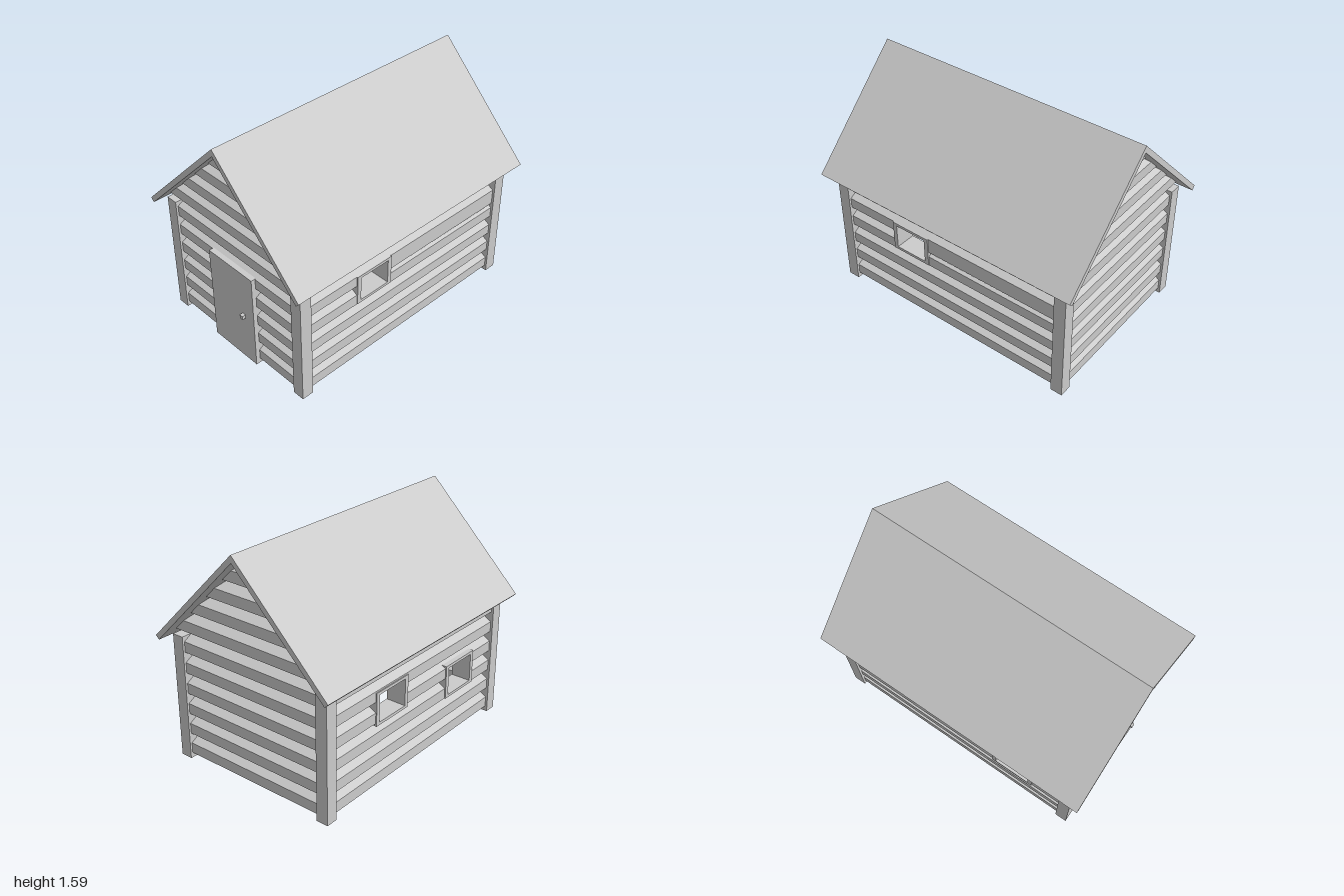
import * as THREE from 'three';

const material = new THREE.MeshStandardMaterial({ color: 0xcccccc, flatShading: true });

const PITCH = 0.1475;        // height of one log
const HALF = 0.0635;         // half the depth of a log
const WALL_X = 0.5515, WALL_Z = 0.8465;
const POST = 0.085, POST_X = 0.588, POST_Z = 0.8825, EAVES = 0.885;
const RIDGE = 1.585, DROP = 0.05, ROOF_X = 0.705;

function add(parent, name, geometry, x = 0, y = 0, z = 0) {
  const mesh = new THREE.Mesh(geometry, material);
  mesh.name = name;
  mesh.position.set(x, y, z);
  parent.add(mesh);
  return mesh;
}

function box(parent, name, x0, x1, y0, y1, z0, z1) {
  return add(parent, name, new THREE.BoxGeometry(x1 - x0, y1 - y0, z1 - z0),
    (x0 + x1) / 2, (y0 + y1) / 2, (z0 + z1) / 2);
}

// Hexagonal log in row, lying along x from a to b, keeping only heights lo..hi
function logPiece(row, a, b, lo = -Infinity, hi = Infinity) {
  const base = row * PITCH, top = base + PITCH;
  const y0 = Math.max(base, lo), y1 = Math.min(top, hi);
  if (y1 - y0 < 0.004) return null;
  const halfAt = y => HALF * Math.min(1, Math.min(y - base, top - y) / (PITCH / 4));
  const ys = [y0, base + PITCH / 4, top - PITCH / 4, y1].filter(
    (y, i) => i === 0 || i === 3 || (y > y0 + 0.001 && y < y1 - 0.001));
  const side = s => ys.filter(y => halfAt(y) > 1e-5 || s > 0)
    .map(y => new THREE.Vector2(s * halfAt(y), y));
  const shape = new THREE.Shape([...side(1), ...side(-1).reverse()]);
  return new THREE.ExtrudeGeometry(shape, { depth: b - a, bevelEnabled: false })
    .translate(0, 0, a).rotateY(Math.PI / 2);
}

// Six stacked rows with rectangular openings { a, b, lo, hi }
function logWall(name, half, openings = []) {
  const wall = new THREE.Group();
  wall.name = name;
  for (let row = 0; row < 6; row++) {
    const base = row * PITCH;
    const cutting = openings.filter(o => o.lo < base + PITCH && o.hi > base)
      .sort((p, q) => p.a - q.a);
    let start = -half;
    const put = g => g && add(wall, 'log', g);
    for (const o of cutting) {
      put(logPiece(row, start, o.a));
      put(logPiece(row, o.a, o.b, -Infinity, o.lo));
      put(logPiece(row, o.a, o.b, o.hi, Infinity));
      start = o.b;
    }
    put(logPiece(row, start, half));
  }
  return wall;
}

// Logs above the eaves, their ends cut to the slope of the roof
function addGable(wall) {
  for (let row = 6; row < 11; row++) {
    const g = logPiece(row, -1, 1, -Infinity, 1.55);
    const p = g.attributes.position;
    for (let i = 0; i < p.count; i++) {
      const reach = Math.min(0.615, 1.56 - p.getY(i));
      p.setX(i, Math.sign(p.getX(i)) * reach);
    }
    g.computeVertexNormals();
    add(wall, 'gableLog', g);
  }
}

// Rectangular surround lying in the xy plane
function frameGeometry(w, h, bx, by, depth) {
  const rect = (C, x, y) => new C([[-x, -y], [x, -y], [x, y], [-x, y]]
    .map(c => new THREE.Vector2(...c)));
  const shape = rect(THREE.Shape, w / 2, h / 2);
  shape.holes.push(rect(THREE.Path, w / 2 - bx, h / 2 - by));
  return new THREE.ExtrudeGeometry(shape, { depth, bevelEnabled: false })
    .translate(0, 0, -depth / 2);
}

export function createModel() {
  const cabin = new THREE.Group();
  cabin.name = 'logCabin';

  // Front and back walls with gables
  const door = { a: -0.205, b: 0.205, lo: -0.01, hi: 0.705 };
  for (const [name, s, openings] of [['frontWall', 1, [door]], ['backWall', -1, []]]) {
    const wall = logWall(name, 0.55, openings);
    addGable(wall);
    wall.position.z = s * WALL_Z;
    cabin.add(wall);
  }

  // Side walls with framed windows; a and b run along z
  const leftWindows = [{ a: 0.155, b: 0.45, lo: 0.485, hi: 0.7 }];
  const rightWindows = [
    { a: -0.45, b: -0.13, lo: 0.46, hi: 0.69 },
    { a: 0.3, b: 0.62, lo: 0.33, hi: 0.57 },
  ];
  for (const [name, s, windows] of [['leftWall', 1, leftWindows], ['rightWall', -1, rightWindows]]) {
    const wall = logWall(name, 0.845, windows);
    wall.rotation.y = -Math.PI / 2;        // local x runs along world z
    wall.position.x = s * WALL_X;
    for (const o of windows) {
      add(wall, 'windowFrame', frameGeometry(o.b - o.a, o.hi - o.lo, 0.03, 0.02, 0.142),
        (o.a + o.b) / 2, (o.lo + o.hi) / 2, 0);
    }
    cabin.add(wall);
  }

  // Strip filling the joint behind the left window
  box(cabin, 'packingStrip', 0.555, 0.614, 0.59, 0.63, -0.842, 0.155);

  // Corner posts
  for (const sx of [-1, 1]) for (const sz of [-1, 1]) {
    add(cabin, 'cornerPost', new THREE.BoxGeometry(POST, EAVES, POST),
      sx * POST_X, EAVES / 2, sz * POST_Z);
  }

  // Door frame, door and handle
  add(cabin, 'doorFrame', frameGeometry(0.41, 0.705, 0.035, 0.03, 0.142), 0, 0.3525, WALL_Z + 0.008);
  box(cabin, 'door', -0.205, 0.205, 0, 0.705, 0.922, 0.94);
  box(cabin, 'doorHandle', 0.097, 0.124, 0.35, 0.377, 0.935, 0.965);

  // Two roof slopes in one folded section, ends square to the slope
  const d = DROP / 2, eave = RIDGE - ROOF_X;
  const section = new THREE.Shape([
    [0, RIDGE], [-ROOF_X, eave], [-ROOF_X + d, eave - d],
    [0, RIDGE - DROP], [ROOF_X - d, eave - d], [ROOF_X, eave],
  ].map(c => new THREE.Vector2(...c)));
  add(cabin, 'roof', new THREE.ExtrudeGeometry(section, { depth: 2, bevelEnabled: false }), 0, 0, -1);

  return cabin;
}
